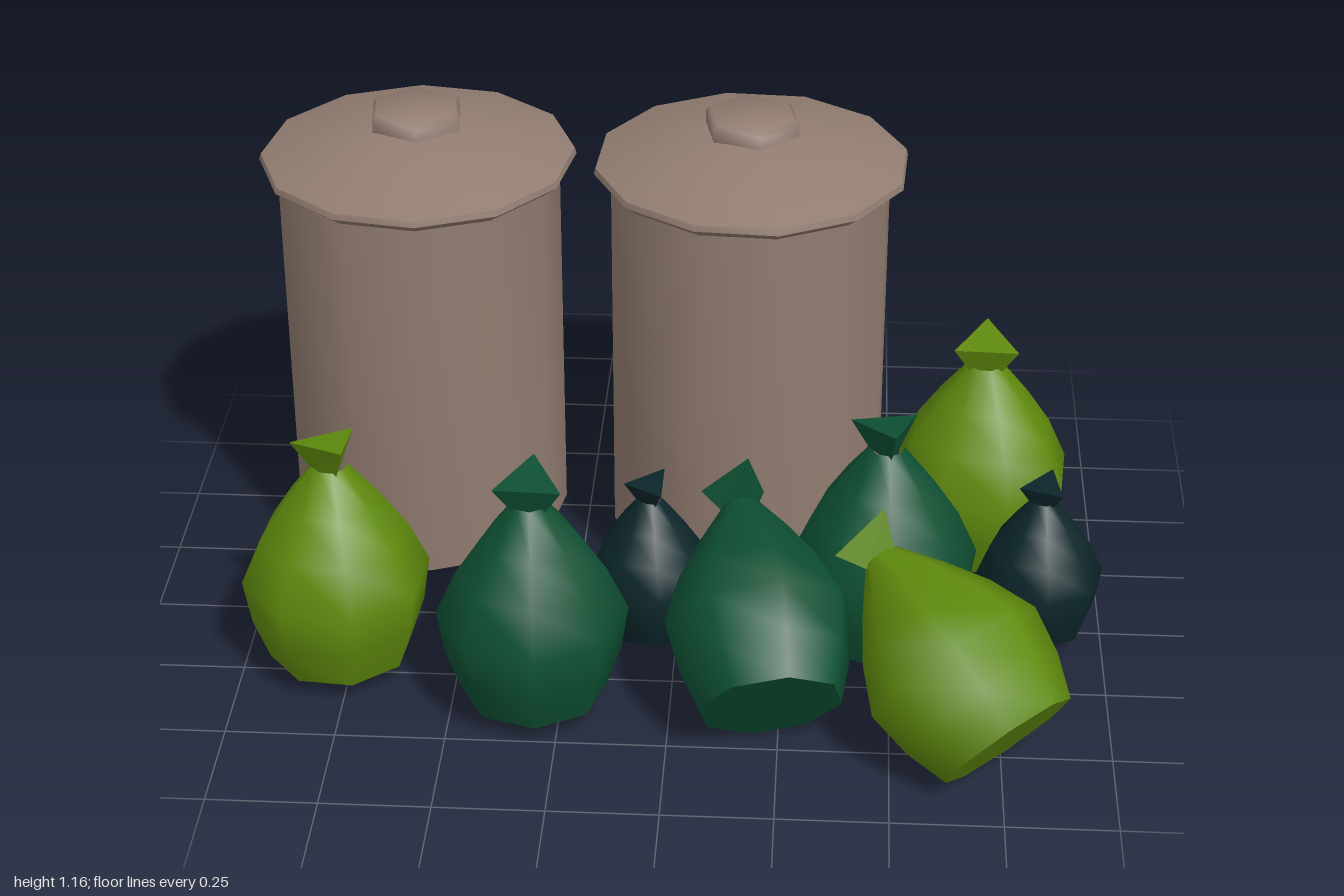
import * as THREE from 'three';
import { toCreasedNormals } from 'three/addons/utils/BufferGeometryUtils.js';

const mat = (name, color) => {
  const m = new THREE.MeshStandardMaterial({ color });
  m.name = name;
  return m;
};

// Turned shape with smooth sides and sharp edges
function turned(profile, sides, crease) {
  const points = profile.map(([r, y]) => new THREE.Vector2(r, y));
  return toCreasedNormals(new THREE.LatheGeometry(points, sides), crease);
}

function part(name, geometry, material, parent) {
  const mesh = new THREE.Mesh(geometry, material);
  mesh.name = name;
  parent.add(mesh);
  return mesh;
}

export function createModel() {
  const model = new THREE.Group();
  model.name = 'binsAndRubbishBags';

  const brown = mat('binBrown', 0x917c70);
  const lime = mat('limeBag', 0x5f8a0d);
  const green = mat('greenBag', 0x0e5033);
  const navy = mat('darkBag', 0x0b2529);

  // Bins: drum, conical lid with a turned-in rim, six-sided knob
  const drum = turned([[0, 0.08], [0.33, 0.08], [0.33, 1.01]], 12, 0.9);
  const lid = turned([[0, 1], [0.342, 1], [0.37, 1.022], [0.366, 1.036], [0.24, 1.08], [0.11, 1.112], [0, 1.112]], 12, 0.9);
  const knob = turned([[0.115, 1.1], [0.115, 1.14], [0.105, 1.15], [0, 1.15]], 6, 1.2);

  [[-0.63, 0, -0.387, 0.1], [0.15, 0.004, -0.38, 0.2]].forEach(([x, y, z, turn], i) => {
    const bin = new THREE.Group();
    bin.name = 'bin' + (i + 1);
    part('drum', drum, brown, bin);
    part('lid', lid, brown, bin);
    part('knob', knob, brown, bin);
    bin.position.set(x, y, z);
    bin.rotation.y = turn;
    model.add(bin);
  });

  // Bags: eight-sided sack, pinched neck, three-sided flared tie.
  // The local origin sits at the middle of the sack.
  const sack = turned([[0, -0.2], [0.165, -0.2], [0.2, -0.1], [0.217, 0.01], [0.17, 0.115],
    [0.11, 0.205], [0.04, 0.295]], 8, 1.05);
  const tie = new THREE.CylinderGeometry(0.088, 0.042, 0.085, 3).toNonIndexed();
  tie.translate(0, 0.325, 0);
  // Slant the top of the tie
  const p = tie.attributes.position;
  for (let i = 0; i < p.count; i++) {
    if (p.getY(i) > 0.33) p.setY(i, p.getY(i) - 0.012 + p.getZ(i) * 0.15);
  }
  tie.computeVertexNormals();

  // material, centre, scale, turn, tie turn, lean direction
  const bags = [
    [lime, [-0.775, 0.245, 0.215], 1, 0.3, 0.5],
    [green, [-0.31, 0.245, 0.35], 1, 0.1, 3.1],
    [navy, [-0.06, 0.196, 0.09], 0.68, 0.2, 2.6],
    [green, [0.2, 0.245, 0.36], 1, 0.35, 0.4, [-0.17, 0.55, -0.84]],
    [lime, [0.64, 0.245, 0.5], 1, 0.2, 1, [-0.58, 0.57, -0.58]],
    [green, [0.48, 0.245, 0.07], 1, 0.1, 0.2],
    [lime, [0.715, 0.245, -0.33], 1, 0.3, 3.1],
    [navy, [0.845, 0.191, 0.04], 0.68, 0.1, 2.8],
  ];
  const up = new THREE.Vector3(0, 1, 0);
  bags.forEach(([material, centre, scale, turn, tieTurn, lean], i) => {
    const bag = new THREE.Group();
    bag.name = 'bag' + (i + 1);
    part('sack', sack, material, bag).rotation.y = turn;
    part('tie', tie, material, bag).rotation.y = tieTurn;
    bag.position.set(...centre);
    bag.scale.setScalar(scale);
    if (lean) bag.quaternion.setFromUnitVectors(up, new THREE.Vector3(...lean).normalize());
    model.add(bag);
  });

  return model;
}
